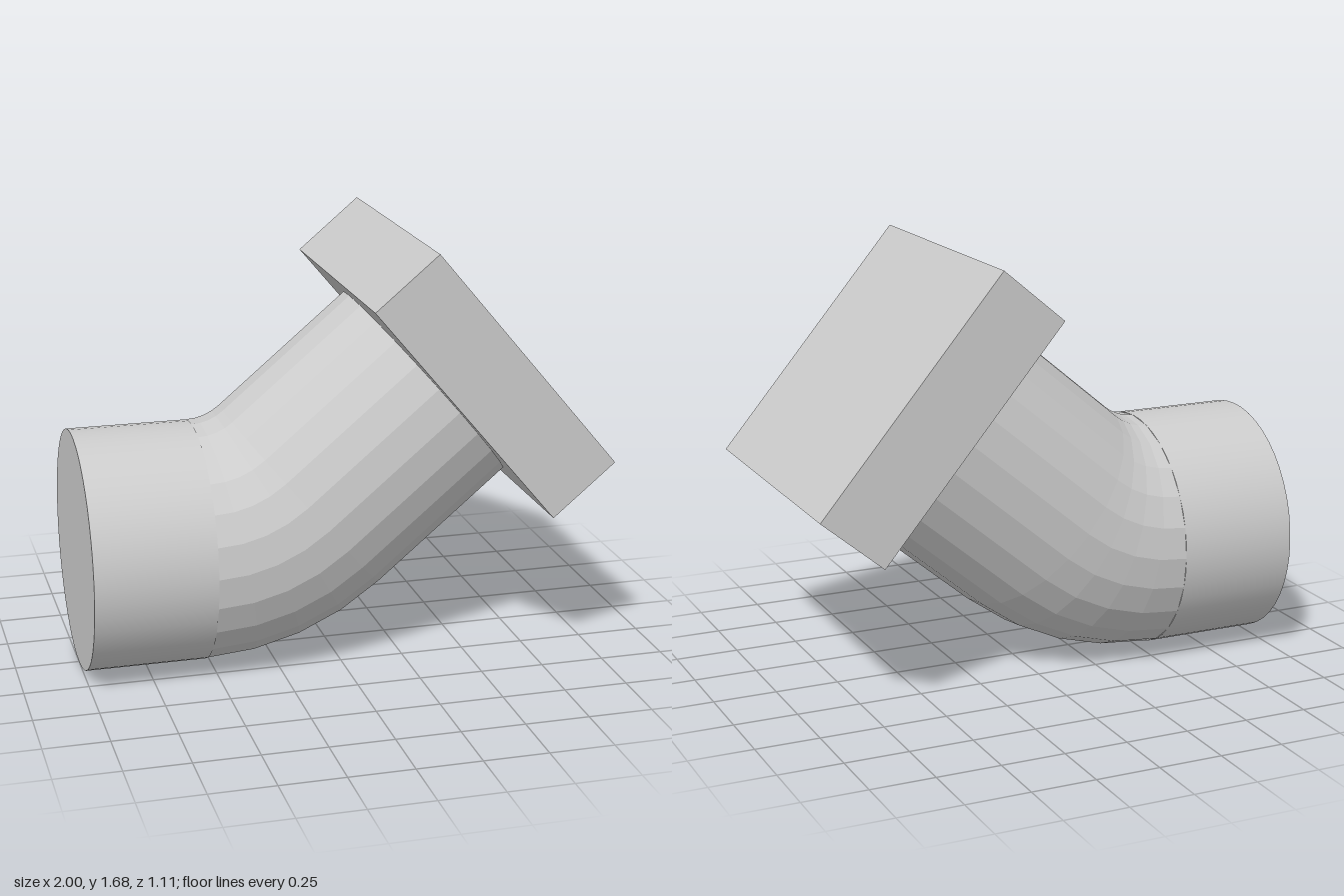
import * as THREE from 'three';

const R = 0.47;                    // pipe radius
const BEND = THREE.MathUtils.degToRad(40);
const START = -0.53;               // x where the bend begins
const BEND_Y = 1.13;               // height of the bend centre
const BEND_R = BEND_Y - R;         // radius of the bend's centre line
const STEPS = 4;                   // facets along the bend
const STRAIGHT = 0.68;             // length of the inclined run

// Centre point and angle of ring i along the elbow
function ringAt(i) {
  const a = BEND * Math.min(i, STEPS) / STEPS;
  const run = i > STEPS ? STRAIGHT : 0;
  return {
    a,
    x: START + BEND_R * Math.sin(a) + run * Math.cos(a),
    y: BEND_Y - BEND_R * Math.cos(a) + run * Math.sin(a),
  };
}

export function createModel() {
  const group = new THREE.Group();
  const smooth = new THREE.MeshStandardMaterial({ color: 0xcccccc });
  const faceted = new THREE.MeshStandardMaterial({ color: 0xcccccc, flatShading: true });

  // Smooth horizontal inlet, closed at its outer end
  const inletLength = START + 1;
  const inletGeo = new THREE.CylinderGeometry(R, R, inletLength, 48);
  inletGeo.rotateZ(-Math.PI / 2);
  const inlet = new THREE.Mesh(inletGeo, smooth);
  inlet.name = 'inletPipe';
  inlet.position.set(-1 + inletLength / 2, R, 0);
  group.add(inlet);

  // Faceted elbow: an open cylinder bent ring by ring, then run straight
  const rings = STEPS + 1;
  const elbowGeo = new THREE.CylinderGeometry(R, R, rings, 24, rings, true);
  elbowGeo.rotateZ(-Math.PI / 2);
  const p = elbowGeo.attributes.position;
  for (let v = 0; v < p.count; v++) {
    const { a, x, y } = ringAt(Math.round(p.getX(v) + rings / 2));
    const h = p.getY(v);
    p.setXY(v, x - h * Math.sin(a), y + h * Math.cos(a));
  }
  elbowGeo.computeVertexNormals();
  const elbow = new THREE.Mesh(elbowGeo, faceted);
  elbow.name = 'elbowPipe';
  group.add(elbow);

  // Square flange across the inclined end
  const flange = new THREE.Mesh(new THREE.BoxGeometry(0.317, 1.11, 1.11), faceted);
  flange.name = 'squareFlange';
  flange.position.set(0.521, 1.155, 0);
  flange.rotation.z = BEND;
  group.add(flange);

  return group;
}
